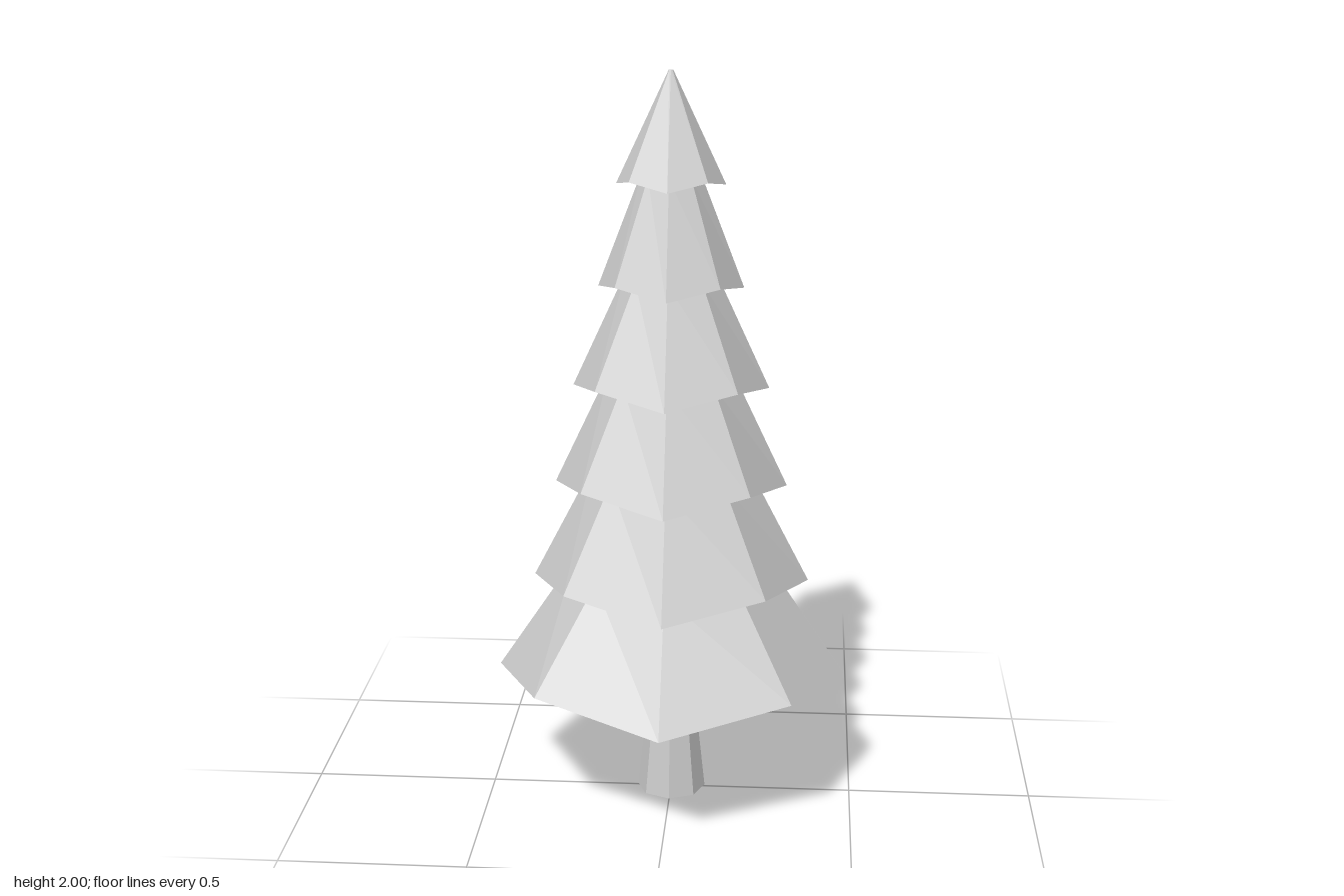
import * as THREE from 'three';

const material = new THREE.MeshStandardMaterial({ color: 0xcccccc, flatShading: true });

// Eight-sided solid of revolution; adjust(x, y, z, corner, row) may return a new height
function octagonal(name, profile, adjust) {
  const points = profile.map(([r, y]) => new THREE.Vector2(r, y));
  const geometry = new THREE.LatheGeometry(points, 8);
  const position = geometry.attributes.position;
  if (adjust) {
    for (let i = 0; i < position.count; i++) {
      const row = i % profile.length;
      const corner = Math.floor(i / profile.length);
      position.setY(i, adjust(position.getY(i), corner, row));
    }
  }
  const flat = geometry.toNonIndexed();
  flat.computeVertexNormals();
  const mesh = new THREE.Mesh(flat, material);
  mesh.name = name;
  return mesh;
}

export function createModel() {
  const model = new THREE.Group();
  model.name = 'pineTree';

  // Foliage tiers: rim radius, rim height, lift of the diagonal corners, top radius, top height
  const tiers = [
    [0.475, 0.36, 0.05, 0.265, 0.675],
    [0.373, 0.63, 0.04, 0.21, 0.945],
    [0.311, 0.90, 0.038, 0.167, 1.205],
    [0.26, 1.17, 0.033, 0.122, 1.47],
    [0.191, 1.44, 0.025, 0.078, 1.735],
    [0.142, 1.71, 0.02, 0.006, 2.0],
  ];
  // Flat underside first, then each drooping rim and the neck above it
  const profile = [[0, 0.405], [0.38, 0.405]];
  const lifts = [0, 0];
  for (const [rimRadius, rimY, lift, topRadius, topY] of tiers) {
    profile.push([rimRadius, rimY], [topRadius, topY]);
    lifts.push(lift, 0);
  }
  profile.push([0, 2.0]);
  lifts.push(0);
  model.add(octagonal('foliage', profile, (y, corner, row) => y + (corner % 2) * lifts[row]));

  // Waisted trunk, set slightly back
  const trunk = octagonal('trunk', [[0, 0], [0.094, 0], [0.073, 0.2], [0.09, 0.41], [0, 0.41]]);
  trunk.position.z = -0.01;
  model.add(trunk);

  return model;
}
